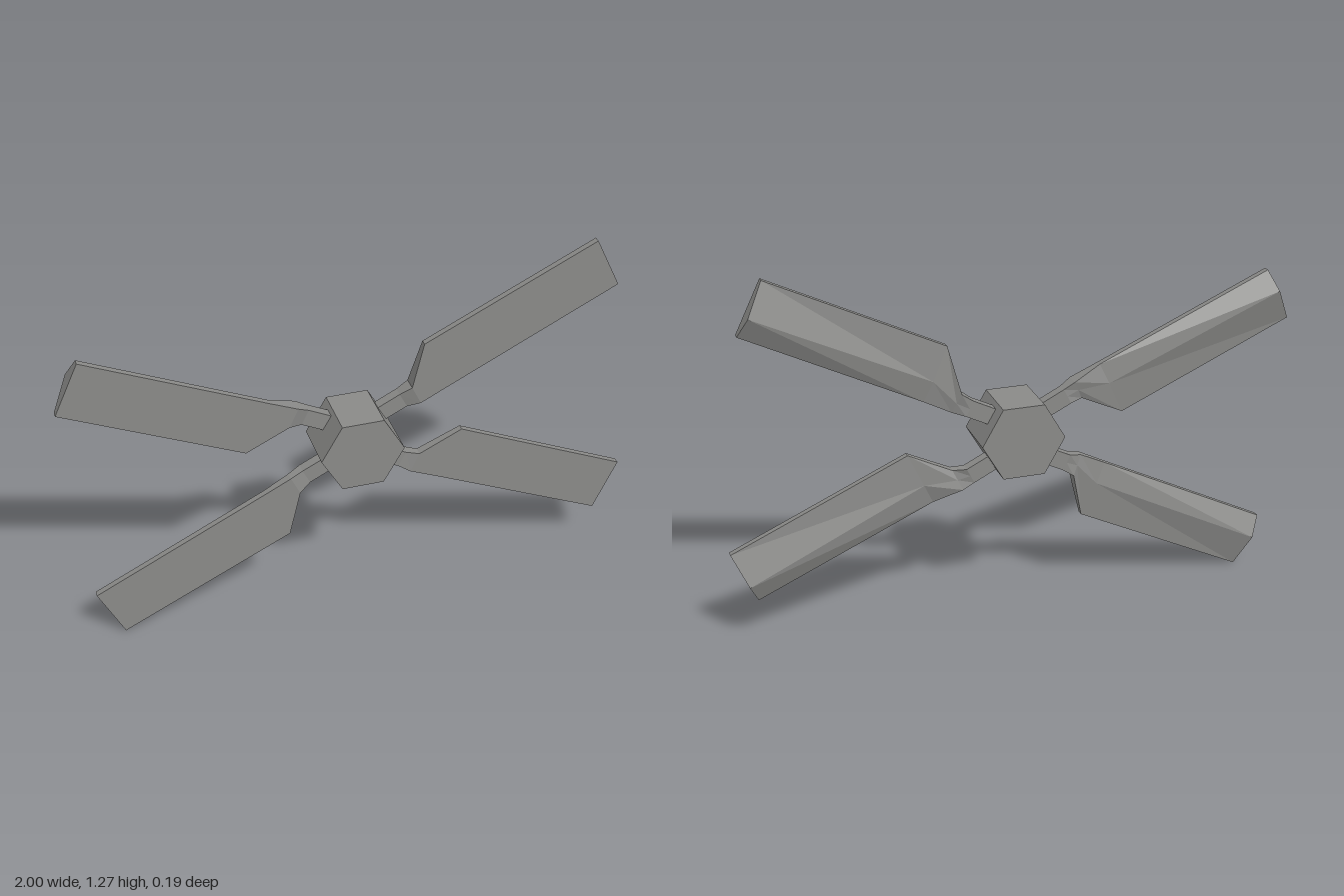
import * as THREE from 'three';

const CENTRE_Y = 0.638;

// Skin a list of equal-sized closed sections into a capped solid
function loft(sections) {
  const n = sections[0].length, pos = [];
  const tri = (...p) => p.forEach(v => pos.push(...v));
  for (let s = 0; s < sections.length - 1; s++) {
    for (let i = 0; i < n; i++) {
      const j = (i + 1) % n, A = sections[s], B = sections[s + 1];
      tri(A[i], B[i], A[j]);
      tri(A[j], B[i], B[j]);
    }
  }
  const first = sections[0], last = sections[sections.length - 1];
  for (let i = 1; i < n - 1; i++) {
    tri(first[0], first[i], first[i + 1]);
    tri(last[0], last[i + 1], last[i]);
  }
  const geo = new THREE.BufferGeometry();
  geo.setAttribute('position', new THREE.Float32BufferAttribute(pos, 3));
  geo.computeVertexNormals();
  return geo;
}

// Five-point section: flat front, two thin edges and a ridge at the back
function section([ux, uy], [lx, ly], front, upperBack, ridge, lowerBack, t = 0.62) {
  const mx = ux + (lx - ux) * t, my = uy + (ly - uy) * t;
  return [[ux, uy, front], [ux, uy, upperBack], [mx, my, ridge], [lx, ly, lowerBack], [lx, ly, front]];
}

// Neck joins the square stem to the blade root
const neck = (upper, lower, backU, backL) =>
  section(upper, lower, 0.01, backU, (backU + backL) / 2, backL, 0.5);
const root = (upper, lower) => section(upper, lower, 0.01, -0.013, -0.024, -0.013);
const tip = (upper, lower) => section(upper, lower, 0.01, -0.013, -0.05, -0.013);
const stem = (upper, lower) => section(upper, lower, -0.004, -0.042, -0.042, -0.042, 0.5);

export function createModel() {
  const model = new THREE.Group();
  model.name = 'propeller';
  const grey = new THREE.MeshStandardMaterial({ color: 0x8a8a88, flatShading: true });
  grey.name = 'grey';

  const rotor = new THREE.Group();
  rotor.name = 'rotor';
  rotor.position.y = CENTRE_Y;
  model.add(rotor);

  // Hexagonal hub, corners pointing left and right
  const hubGeo = new THREE.CylinderGeometry(0.147, 0.147, 0.192, 6);
  hubGeo.rotateY(Math.PI / 2).rotateX(Math.PI / 2);
  const hub = new THREE.Mesh(hubGeo, grey);
  hub.name = 'hub';
  rotor.add(hub);

  // Blade rising to the side: steep shoulder
  const risingBlade = loft([
    stem([0.04, 0.09], [0.066, 0.037]),
    stem([0.16, 0.15], [0.187, 0.097]),
    neck([0.2, 0.178], [0.232, 0.11], -0.042, -0.022),
    root([0.24, 0.345], [0.325, 0.157]),
    tip([0.843, 0.637], [0.931, 0.457]),
  ]);
  // Blade falling to the side: long slanted shoulder
  const fallingBlade = loft([
    stem([0.066, -0.037], [0.04, -0.09]),
    stem([0.187, -0.097], [0.16, -0.15]),
    neck([0.232, -0.103], [0.2, -0.172], -0.022, -0.042),
    root([0.385, -0.03], [0.3, -0.215]),
    tip([1.0, -0.305], [0.915, -0.488]),
  ]);

  // Each blade repeats half a turn round the hub
  for (const [name, geo] of [['risingBlade', risingBlade], ['fallingBlade', fallingBlade]]) {
    for (const turn of [0, 1]) {
      const blade = new THREE.Mesh(geo, grey);
      blade.name = name + (turn ? 'Opposite' : '');
      blade.rotation.z = turn * Math.PI;
      rotor.add(blade);
    }
  }
  return model;
}
